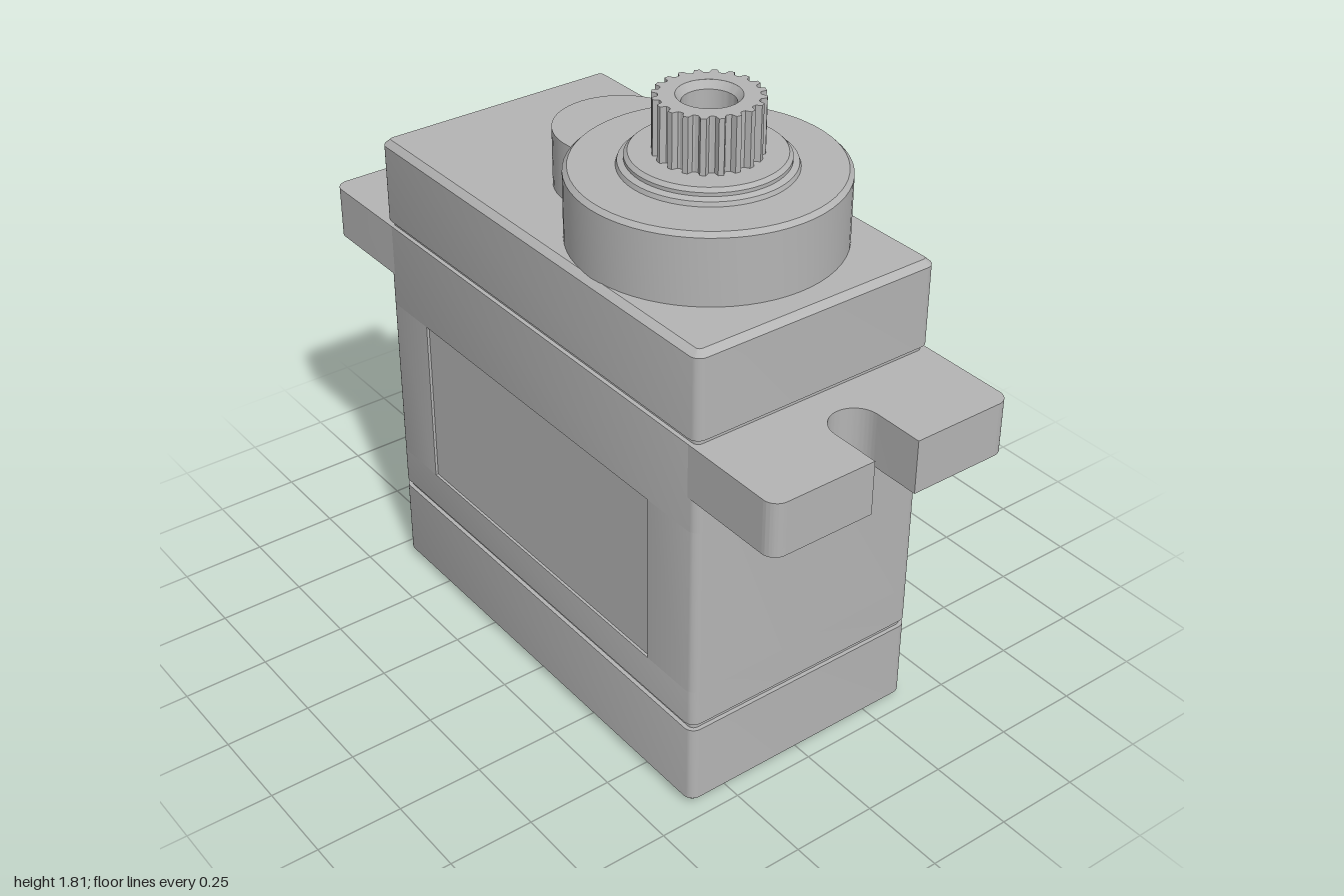
import * as THREE from 'three';
import { toCreasedNormals } from 'three/addons/utils/BufferGeometryUtils.js';

const HX = 0.71, HZ = 0.38, SHAFT_X = 0.265;

// Rounded rectangle outline, inset from the case wall
function outline(inset = 0) {
  const r = Math.max(0.03 - inset, 0.006), n = 5, pts = [];
  const cx = HX - inset - r, cz = HZ - inset - r;
  [[1, 1], [-1, 1], [-1, -1], [1, -1]].forEach(([sx, sz], q) => {
    for (let i = 0; i <= n; i++) {
      const a = (q + i / n) * Math.PI / 2;
      pts.push(new THREE.Vector2(sx * cx + r * Math.cos(a), sz * cz + r * Math.sin(a)));
    }
  });
  return pts;
}

// Side walls through stacked outlines, levels = [y, inset]
function wallGeometry(levels) {
  const pos = [], idx = [], n = outline().length;
  for (const [y, inset] of levels) for (const p of outline(inset)) pos.push(p.x, y, p.y);
  for (let l = 0; l < levels.length - 1; l++) {
    for (let i = 0; i < n; i++) {
      const a = l * n + i, b = l * n + (i + 1) % n, c = b + n, d = a + n;
      idx.push(a, d, c, a, c, b);
    }
  }
  const g = new THREE.BufferGeometry();
  g.setAttribute('position', new THREE.Float32BufferAttribute(pos, 3));
  g.setIndex(idx);
  return g;
}

// Horizontal flat face
function capGeometry(inset, y, up, holes = []) {
  const s = new THREE.Shape(outline(inset));
  s.holes.push(...holes);
  return new THREE.ShapeGeometry(s, 24).rotateX(up ? -Math.PI / 2 : Math.PI / 2).translate(0, y, 0);
}

// Plan shape raised from y0 to y1
function slabGeometry(shape, y0, y1) {
  return new THREE.ExtrudeGeometry(shape, { depth: y1 - y0, bevelEnabled: false, curveSegments: 20 })
    .rotateX(-Math.PI / 2).translate(0, y0, 0);
}

function circlePath(x, y, r) {
  return new THREE.Path().absarc(x, y, r, 0, Math.PI * 2, true);
}

export function createModel() {
  const model = new THREE.Group();
  model.name = 'servoMotor';
  const grey = new THREE.MeshStandardMaterial({ color: 0xb4b4b4, side: THREE.DoubleSide });
  grey.name = 'grey plastic';

  const add = (name, geometry, x = 0, y = 0, z = 0) => {
    const mesh = new THREE.Mesh(toCreasedNormals(geometry, 0.5), grey);
    mesh.name = name;
    mesh.position.set(x, y, z);
    model.add(mesh);
    return mesh;
  };
  const lathe = pts => new THREE.LatheGeometry(pts.map(p => new THREE.Vector2(...p)), 64);

  // Lower case: chamfered base, seam groove, wall up to the panel
  const screws = [];
  for (const sx of [-1, 1]) for (const sz of [-1, 1]) screws.push([sx * 0.587, sz * 0.295]);
  add('lowerCaseWall', wallGeometry([[0, 0.022], [0.022, 0], [0.26, 0], [0.26, 0.012],
    [0.28, 0.012], [0.28, 0], [0.39, 0]]));
  add('baseFace', capGeometry(0.022, 0, false, screws.map(([x, z]) => circlePath(x, z, 0.048))));
  add('panelSill', capGeometry(0, 0.39, true));

  // Screw holes in the base
  for (const [x, z] of screws) {
    add('screwHole', lathe([[0.048, 0], [0.048, 0.07], [0, 0.07]]), x, 0, z);
  }

  // Middle case with a shallow recessed panel front and back
  const panelX = 0.52, recess = HZ - 0.008;
  const plan = outline();
  const half = plan.length / 2;
  const notch = s => [[s * panelX, s * HZ], [s * panelX, s * recess], [-s * panelX, s * recess],
    [-s * panelX, s * HZ]].map(p => new THREE.Vector2(...p));
  const notched = [...plan.slice(0, half / 2), ...notch(1), ...plan.slice(half / 2, half * 1.5),
    ...notch(-1), ...plan.slice(half * 1.5)];
  add('panelCase', slabGeometry(new THREE.Shape(notched), 0.39, 0.9));

  // Upper case: wall, seam groove and chamfered top
  add('panelLintel', capGeometry(0, 0.9, false));
  add('upperCaseWall', wallGeometry([[0.9, 0], [1.155, 0], [1.155, 0.012], [1.172, 0.012],
    [1.172, 0], [1.404, 0], [1.42, 0.018]]));
  add('topFace', capGeometry(0.018, 1.42, true));

  // Mounting ears with open slots
  for (const s of [-1, 1]) {
    const r = 0.04, w = 0.07, slotX = 0.855, ear = new THREE.Shape();
    ear.moveTo(0.68, -HZ);
    ear.lineTo(1 - r, -HZ);
    ear.absarc(1 - r, -HZ + r, r, -Math.PI / 2, 0, false);
    ear.lineTo(1, -w);
    ear.lineTo(slotX, -w);
    ear.absarc(slotX, 0, w, -Math.PI / 2, -Math.PI * 1.5, true);
    ear.lineTo(1, w);
    ear.lineTo(1, HZ - r);
    ear.absarc(1 - r, HZ - r, r, 0, Math.PI / 2, false);
    ear.lineTo(0.68, HZ);
    const g = slabGeometry(ear, 1, 1.155);
    if (s < 0) g.rotateY(Math.PI);
    add(s > 0 ? 'leftEar' : 'rightEar', g);
  }

  // Gear housing and stepped bearing collar
  add('gearHousing', lathe([[0.365, 1.405], [0.365, 1.608], [0.353, 1.62], [0.232, 1.62],
    [0.228, 1.632], [0.212, 1.638], [0.212, 1.648], [0.202, 1.658], [0, 1.658]]), SHAFT_X);
  add('idlerHousing', new THREE.CylinderGeometry(0.183, 0.183, 0.175, 48), -0.1, 1.4975);

  // Splined output shaft with a countersunk bore
  const teeth = 20, spline = [];
  for (let i = 0; i < teeth; i++) {
    for (const [f, r] of [[0, 0.126], [0.25, 0.128], [0.4, 0.143], [0.72, 0.143], [0.87, 0.128]]) {
      const a = (i + f) / teeth * Math.PI * 2;
      spline.push(new THREE.Vector2(r * Math.cos(a), r * Math.sin(a)));
    }
  }
  const shaft = new THREE.Shape(spline);
  shaft.holes.push(circlePath(0, 0, 0.085));
  add('splinedShaft', slabGeometry(shaft, 1.65, 1.81), SHAFT_X);
  add('shaftBore', lathe([[0, 1.7], [0.07, 1.7], [0.07, 1.79], [0.085, 1.81]]), SHAFT_X);

  // Cable block and three drooping wires
  add('cableBlock', new THREE.BoxGeometry(0.09, 0.15, 0.3), -0.733, 0.187);
  const start = [-0.76, 0.19], bend = [-0.92, 0.195], end = [-0.972, 0.072];
  for (const z of [-0.07, 0, 0.07]) {
    const [a, b, c] = [start, bend, end].map(([x, y]) => new THREE.Vector3(x, y, z));
    const path = new THREE.QuadraticBezierCurve3(a, b, c);
    add('wire', new THREE.TubeGeometry(path, 20, 0.031, 16));
    const tip = add('wireEnd', new THREE.CircleGeometry(0.031, 16), c.x, c.y, c.z);
    tip.quaternion.setFromUnitVectors(new THREE.Vector3(0, 0, 1), path.getTangent(1));
  }
  return model;
}
